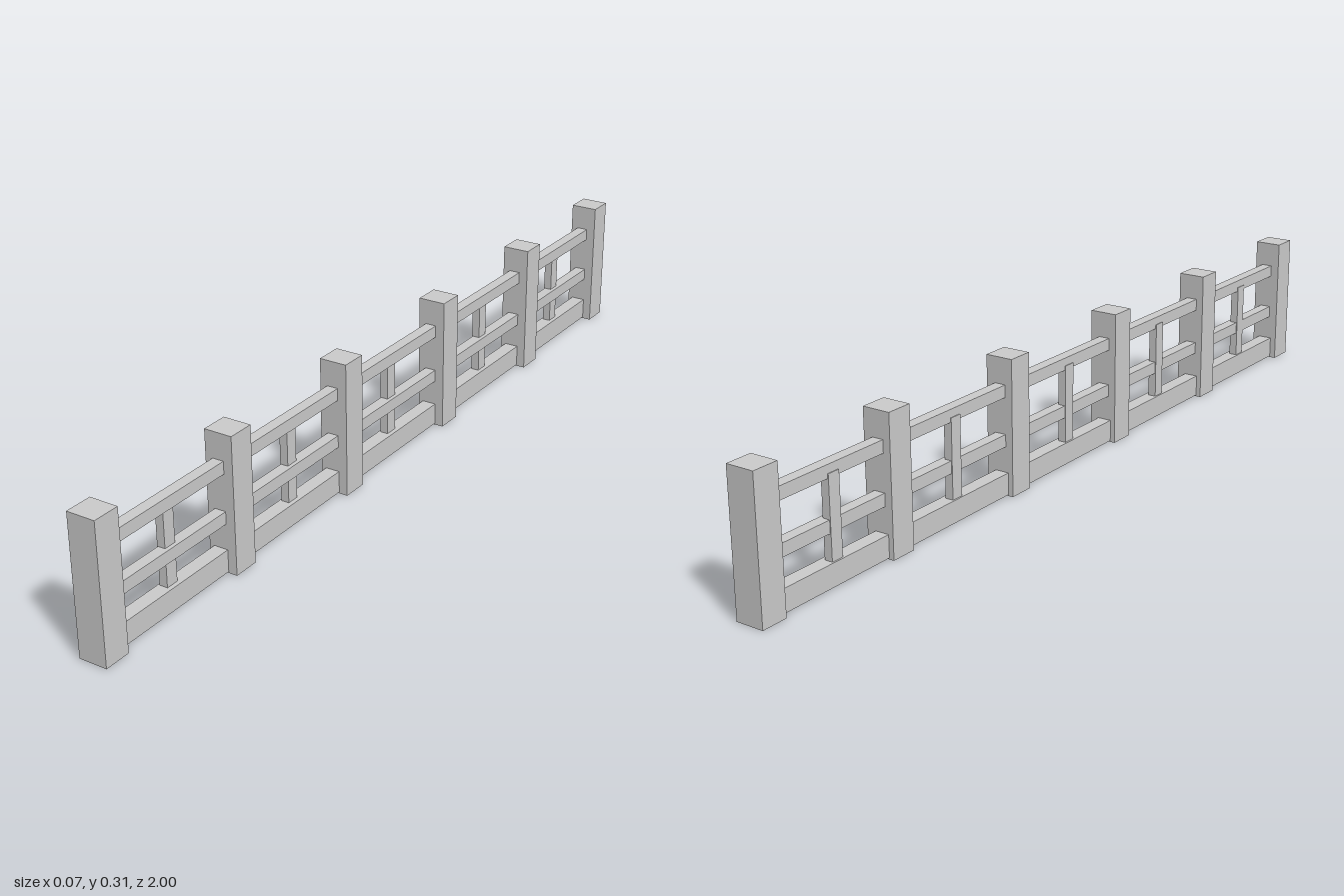
import * as THREE from 'three';

const material = new THREE.MeshStandardMaterial({ color: 0xcccccc, flatShading: true });

// Box given by its extents along each axis
function addBox(parent, name, [x0, x1], [y0, y1], [z0, z1]) {
  const mesh = new THREE.Mesh(new THREE.BoxGeometry(x1 - x0, y1 - y0, z1 - z0), material);
  mesh.position.set((x0 + x1) / 2, (y0 + y1) / 2, (z0 + z1) / 2);
  mesh.name = name;
  parent.add(mesh);
}

export function createModel() {
  const fence = new THREE.Group();
  fence.name = 'fence';

  // Square posts, the frontmost set slightly off line
  const postZ = [0.969, 0.582, 0.19, -0.208, -0.603, -0.969];
  postZ.forEach((z, i) => {
    const x = i === 0 ? -0.002 : 0.001;
    addBox(fence, 'post', [x - 0.0325, x + 0.0325], [0, 0.309], [z - 0.031, z + 0.031]);
  });

  // Long horizontal members running through the posts
  const run = [-0.95, 0.95];
  addBox(fence, 'baseBeam', [-0.02, 0.013], [0.003, 0.053], run);
  addBox(fence, 'middleRail', [-0.014, 0.012], [0.111, 0.139], run);
  addBox(fence, 'topRail', [-0.014, 0.012], [0.222, 0.25], run);

  // One thin upright in each bay, standing slightly proud of the rails
  for (const z of [0.773, 0.377, -0.003, -0.41, -0.778]) {
    addBox(fence, 'upright', [-0.016, 0.003], [0.045, 0.232], [z - 0.015, z + 0.015]);
  }

  return fence;
}
